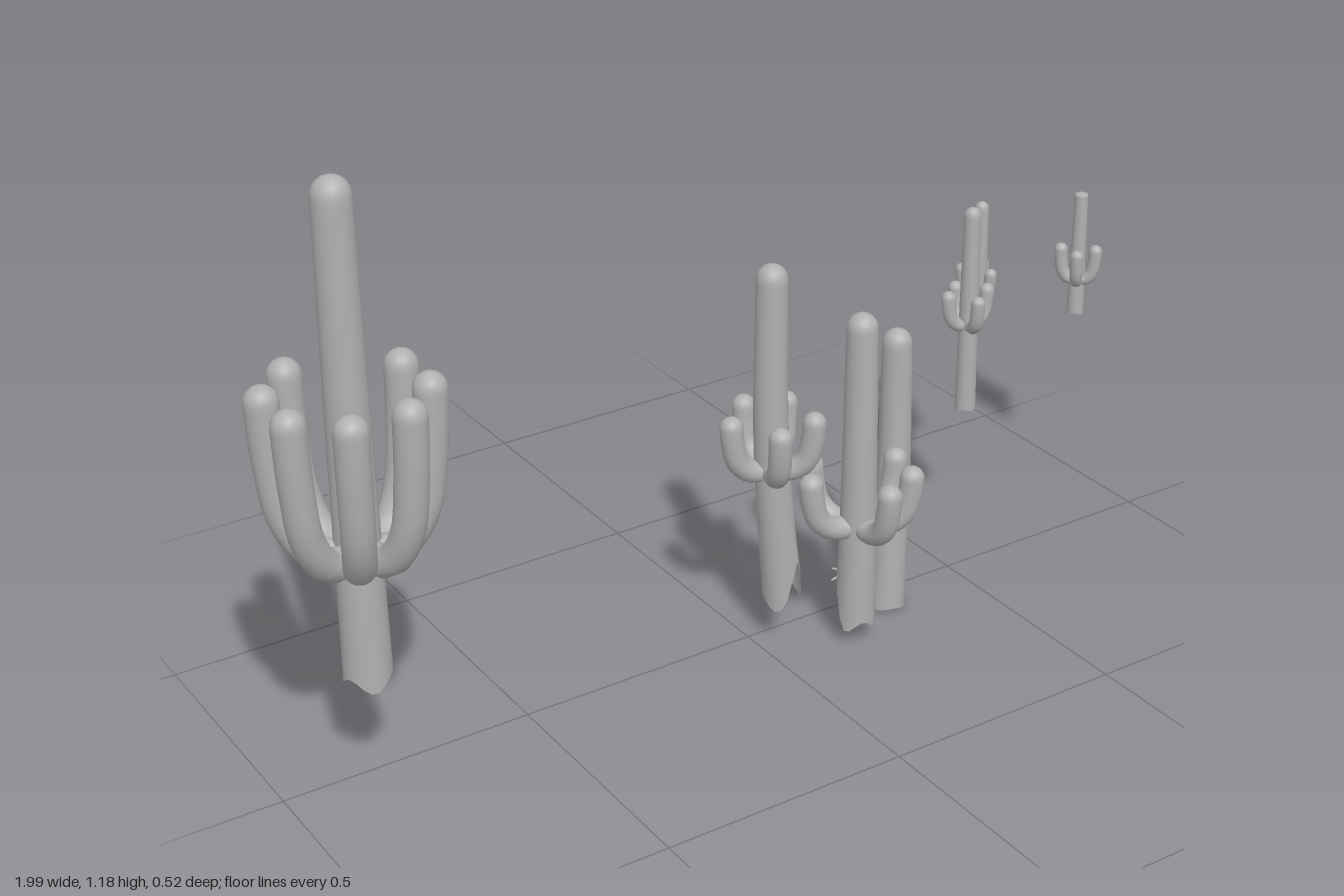
import * as THREE from 'three';
import { mergeVertices } from 'three/addons/utils/BufferGeometryUtils.js';

const grey = new THREE.MeshStandardMaterial({ color: 0xb0b0b0, side: THREE.DoubleSide });
grey.name = 'cactus grey';

const V = (x, y, z) => new THREE.Vector3(x, y, z);

// Round limb swept along a curve, with a domed tip and an optional ragged, notched open foot
function limb(name, points, r0, r1, { across = V(0, 0, 1), ragged = 0, dome = 1, turn = 0 } = {}) {
  const curve = new THREE.CatmullRomCurve3(points);
  const length = curve.getLength();
  const geo = new THREE.CylinderGeometry(1, 1, 1, 20, 26, true);
  const pos = geo.attributes.position;
  for (let i = 0; i < pos.count; i++) {
    const t = THREE.MathUtils.clamp(pos.getY(i) + 0.5, 0, 1);
    const u = 1 - (1 - t) ** 2;
    const side = curve.getTangentAt(u).cross(across).normalize();
    let r = THREE.MathUtils.lerp(r0, r1, u);
    const d = (1 - u) * length, cap = r1 * dome;
    if (d < cap) r *= Math.sqrt(Math.max(0, 1 - (1 - d / cap) ** 2));
    const p = curve.getPointAt(u)
      .addScaledVector(side, pos.getX(i) * r)
      .addScaledVector(across, pos.getZ(i) * r);
    const a = Math.atan2(pos.getZ(i), pos.getX(i)) + turn;
    const notch = Math.max(0, Math.cos(a)) ** 8 + 0.15 * (1 + Math.sin(3 * a + 1));
    p.y += ragged * notch * (1 - t) ** 8;
    pos.setXYZ(i, p.x, p.y, p.z);
  }
  geo.deleteAttribute('uv');
  geo.deleteAttribute('normal');
  const smooth = mergeVertices(geo, 1e-5);
  smooth.computeVertexNormals();
  const mesh = new THREE.Mesh(smooth, grey);
  mesh.name = name;
  return mesh;
}

// Arm that leaves the trunk sideways and turns upward, heading at an angle in degrees
function arm(hub, degrees, { reach, top, radius }) {
  const a = THREE.MathUtils.degToRad(degrees);
  const c = Math.cos(a), s = Math.sin(a);
  const base = hub.y + radius;
  const at = (out, up) => V(hub.x + c * reach * out, base + (top - base) * up, hub.z + s * reach * out);
  const points = [at(0, 0.02), at(0.5, 0.03), at(0.82, 0.22), at(0.95, 0.55), at(1, 1)];
  return limb('arm', points, radius * 0.95, radius, { across: V(s, 0, -c) });
}

// Trunk from foot to tip, straightening above a leaning foot, with arms around it
function cactus(name, foot, tip, r, rim, arms) {
  const g = new THREE.Group();
  g.name = name;
  const bend = V(tip.x, THREE.MathUtils.lerp(foot.y, tip.y, 0.5), tip.z);
  g.add(limb('trunk', [foot, bend, tip], r * 1.28, r, rim));
  if (arms) {
    const hub = V(tip.x, arms.base, tip.z);
    for (const degrees of arms.angles) g.add(arm(hub, degrees, arms));
  }
  return g;
}

// Dry shrub of thin curling blades
function shrub(x, y, z) {
  const g = new THREE.Group();
  g.name = 'dryShrub';
  let seed = 7;
  const rand = () => (seed = (seed * 16807) % 2147483647) / 2147483647;
  for (let i = 0; i < 22; i++) {
    const a = i * 2.4, reach = 0.035 + 0.04 * rand(), rise = 0.005 + 0.085 * rand();
    const c = Math.cos(a), s = Math.sin(a);
    const at = (out, up) => V(x + c * reach * out, y + up, z + s * reach * out);
    const points = [at(0, -0.02), at(0.35, rise * 0.7), at(0.75, rise), at(1, rise * (0.6 + 0.5 * rand()))];
    g.add(limb('blade', points, 0.006, 0.002, { across: V(s, 0, -c) }));
  }
  return g;
}

export function createModel() {
  const model = new THREE.Group();
  model.name = 'cactusGroup';

  // Large cactus with a full ring of arms
  const ring = Array.from({ length: 8 }, (_, i) => 22.5 + i * 45);
  model.add(cactus('largeCactus', V(-0.833, 0.215, 0.035), V(-0.835, 1.18, 0.035), 0.035,
    { ragged: 0.09, turn: 1.6 },
    { base: 0.445, top: 0.815, reach: 0.142, radius: 0.031, angles: ring }));

  // Middle cluster
  model.add(cactus('leaningCactus', V(0.06, 0.08, 0.03), V(0.03, 0.815, 0.035), 0.03,
    { ragged: 0.08, turn: -1.2 },
    { base: 0.365, top: 0.515, reach: 0.084, radius: 0.023, angles: [43, 112, 190, 264, 324] }));
  model.add(cactus('frontCactus', V(0.175, 0.035, 0.12), V(0.172, 0.715, 0.127), 0.03,
    { ragged: 0.08, turn: 2.6 },
    { base: 0.24, top: 0.395, reach: 0.103, radius: 0.024, angles: [38, 91, 190, 240, 306, 350] }));
  model.add(cactus('bareCactus', V(0.304, 0.005, 0.049), V(0.316, 0.615, 0.047), 0.029,
    { ragged: 0.02, turn: 0.5 }));
  model.add(shrub(0.27, 0.045, 0.01));

  // Small cluster
  model.add(cactus('smallCactus', V(0.637, 0.28, -0.132), V(0.635, 0.735, -0.13), 0.017,
    { ragged: 0.015 },
    { base: 0.46, top: 0.555, reach: 0.047, radius: 0.015, angles: [0, 105, 194, 270] }));
  model.add(cactus('rearCactus', V(0.742, 0.41, -0.232), V(0.741, 0.69, -0.23), 0.014,
    { ragged: 0.015, turn: 1 },
    { base: 0.468, top: 0.55, reach: 0.038, radius: 0.013, angles: [90, 215, 320] }));
  model.add(cactus('outerCactus', V(0.953, 0.41, -0.16), V(0.953, 0.685, -0.161), 0.014,
    { ragged: 0.015, turn: 2, dome: 0.2 },
    { base: 0.474, top: 0.568, reach: 0.037, radius: 0.014, angles: [45, 135, 225, 315] }));

  return model;
}
